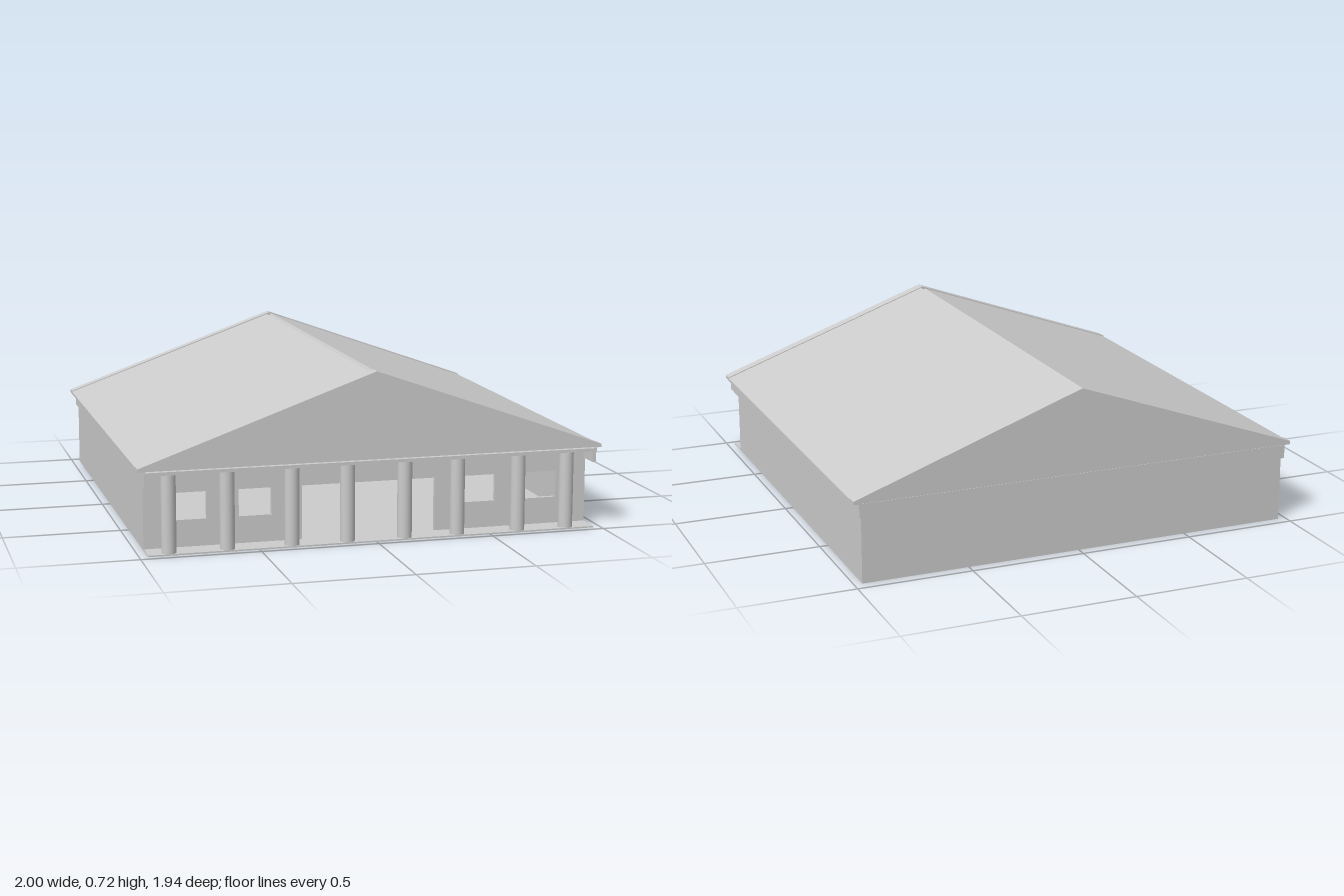
import * as THREE from 'three';

const material = new THREE.MeshStandardMaterial({ color: 0xcccccc, side: THREE.DoubleSide });
const COLUMNS = [-0.873, -0.63, -0.357, -0.12, 0.128, 0.36, 0.63, 0.848];
const WINDOWS = [-0.77, -0.495, 0.485, 0.76];

export function createModel() {
  const model = new THREE.Group();

  const add = (name, geometry) => {
    const mesh = new THREE.Mesh(geometry, material);
    mesh.name = name;
    model.add(mesh);
    return mesh;
  };

  // Box given by its limits on each axis
  const box = (name, x0, x1, y0, y1, z0, z1) => {
    const mesh = add(name, new THREE.BoxGeometry(x1 - x0, y1 - y0, z1 - z0));
    mesh.position.set((x0 + x1) / 2, (y0 + y1) / 2, (z0 + z1) / 2);
  };

  // Outline in x and y, extruded from z0 to z1
  const slab = (name, points, z0, z1, holes = []) => {
    const shape = new THREE.Shape(points.map(([x, y]) => new THREE.Vector2(x, y)));
    for (const hole of holes) {
      shape.holes.push(new THREE.Path(hole.map(([x, y]) => new THREE.Vector2(x, y))));
    }
    add(name, new THREE.ExtrudeGeometry(shape, { depth: z1 - z0, bevelEnabled: false })).position.z = z0;
  };

  // Floor with open porch
  box('floor', -0.965, 0.965, 0, 0.006, -0.955, 0.97);

  // Hollow body
  box('backWall', -0.965, 0.965, 0.006, 0.335, -0.955, -0.935);
  for (const side of [-1, 1]) {
    const [x0, x1] = side < 0 ? [-0.965, -0.945] : [0.945, 0.965];
    box('sideWall', x0, x1, 0.006, 0.335, -0.935, 0.865);
  }

  // Front wall with wide doorway and four windows
  const windows = WINDOWS.map((x) => [
    [x - 0.07, 0.12], [x - 0.07, 0.235], [x + 0.07, 0.235], [x + 0.07, 0.12],
  ]);
  slab('frontWall', [
    [-0.945, 0.006], [-0.295, 0.006], [-0.295, 0.235], [0.285, 0.235],
    [0.285, 0.006], [0.945, 0.006], [0.945, 0.335], [-0.945, 0.335],
  ], 0.845, 0.865, windows);

  // Porch columns
  for (const x of COLUMNS) {
    add('column', new THREE.CylinderGeometry(0.031, 0.031, 0.327, 24)).position.set(x, 0.1695, 0.939);
  }

  // Ceiling and eave bands
  box('ceiling', -0.975, 0.975, 0.332, 0.346, -0.965, 0.968);
  box('backBand', -0.975, 0.975, 0.285, 0.346, -0.966, -0.955);
  box('leftBand', 0.958, 0.975, 0.285, 0.346, -0.966, 0.96);
  box('rightBand', -0.975, -0.958, 0.285, 0.346, -0.966, 0.96);

  // Gable body under the roof
  slab('gable', [[-0.985, 0.346], [0.985, 0.346], [0, 0.697]], -0.964, 0.945);

  // Roof slopes with a narrow ridge groove
  slab('roofSlopes', [
    [-1, 0.346], [1, 0.346], [1, 0.357], [0.006, 0.711],
    [-0.003, 0.699], [-0.014, 0.707], [-1, 0.357],
  ], -0.92, 0.905);

  // Raised roof edges along both gables
  const rake = [
    [-1, 0.347], [-0.97, 0.346], [0, 0.692], [0.97, 0.346],
    [1, 0.347], [1, 0.361], [0, 0.717], [-1, 0.361],
  ];
  slab('frontRake', rake, 0.905, 0.955);
  slab('backRake', rake, -0.97, -0.92);

  return model;
}
